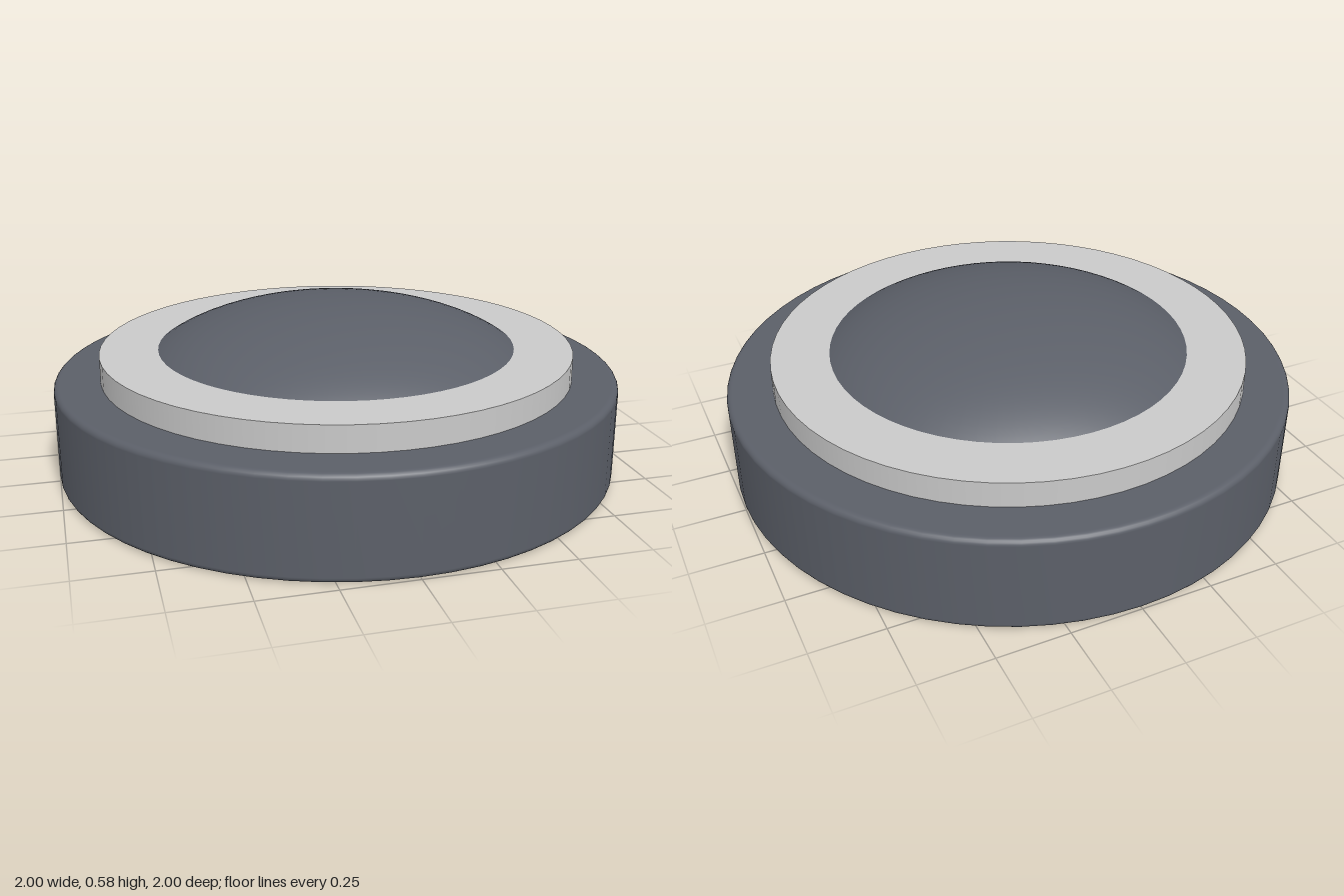
import * as THREE from 'three';

const SEGMENTS = 64;

// Disc profile with rounded rims, from the bottom centre to the top centre
function roundedDisc(radius, y0, y1, bevel) {
  const inner = radius - bevel;
  const points = [new THREE.Vector2(0, y0), new THREE.Vector2(inner - 0.004, y0)];
  for (const [cy, start] of [[y0 + bevel, -Math.PI / 2], [y1 - bevel, 0]]) {
    for (let i = 0; i <= 5; i++) {
      const a = start + (i / 5) * Math.PI / 2;
      points.push(new THREE.Vector2(inner + bevel * Math.cos(a), cy + bevel * Math.sin(a)));
    }
  }
  points.push(new THREE.Vector2(inner - 0.004, y1), new THREE.Vector2(0, y1));
  return new THREE.LatheGeometry(points, SEGMENTS);
}

export function createModel() {
  const group = new THREE.Group();
  const darkGrey = new THREE.MeshStandardMaterial({ name: 'darkGrey', color: 0x5b5f68 });
  const lightGrey = new THREE.MeshStandardMaterial({ name: 'lightGrey', color: 0xc9c9c9 });

  const add = (name, geometry, material) => {
    const mesh = new THREE.Mesh(geometry, material);
    mesh.name = name;
    group.add(mesh);
    return mesh;
  };

  // Wide base with softly rounded rims
  add('base', roundedDisc(1, 0, 0.345, 0.02), darkGrey);

  // Pale collar around the dome
  add('collar', new THREE.CylinderGeometry(0.84, 0.84, 0.095, SEGMENTS), lightGrey).position.y = 0.3875;

  // Flattened dome, rising through the collar
  const dome = new THREE.SphereGeometry(1, SEGMENTS, 20, 0, Math.PI * 2, 0, 1.05);
  dome.scale(0.76, 0.333, 0.76);
  add('dome', dome, darkGrey).position.y = 0.252;

  return group;
}
